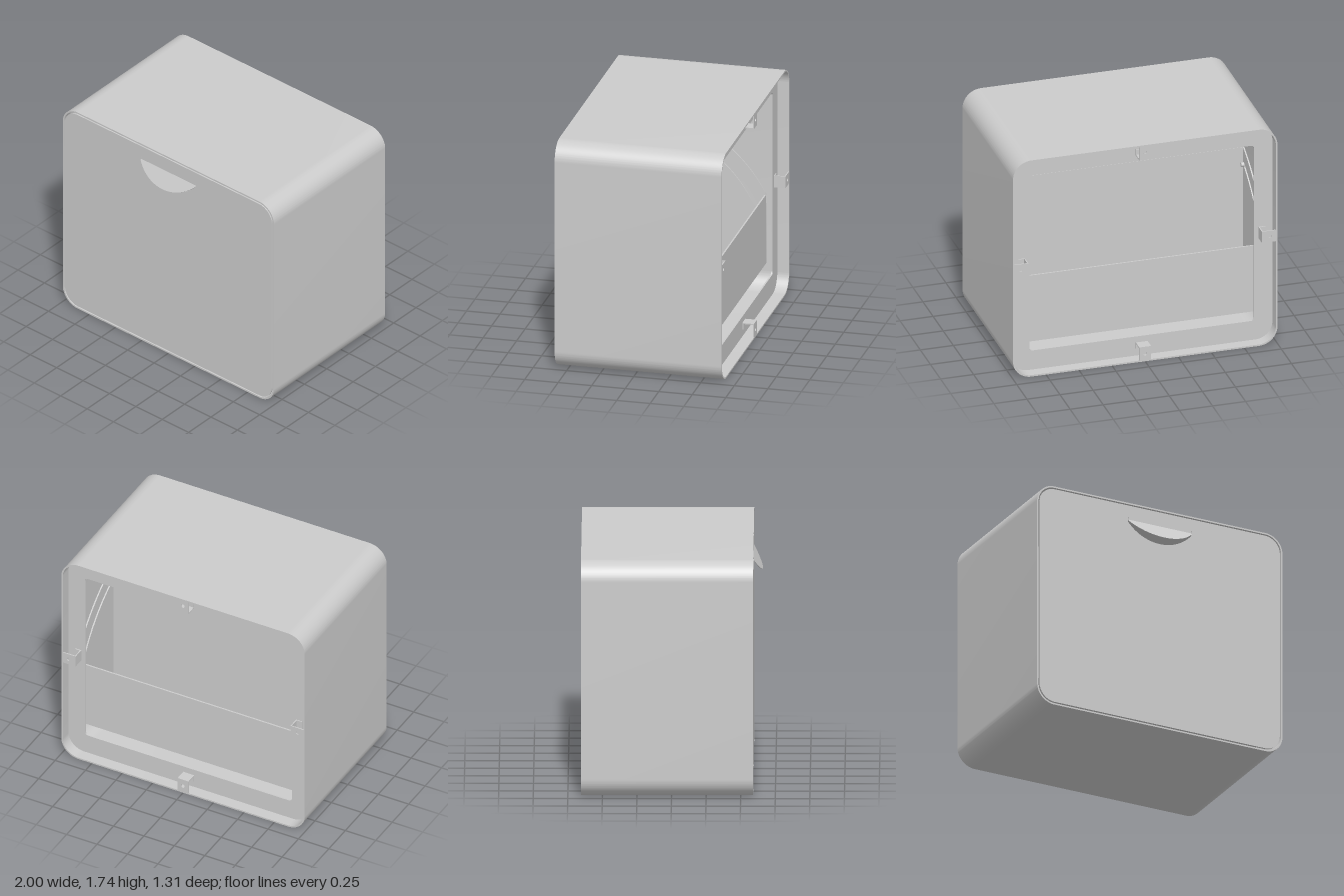
import * as THREE from 'three';
import { toCreasedNormals } from 'three/addons/utils/BufferGeometryUtils.js';

const W = 2, H = 1.74, MID = H / 2, BACK = -0.655, FRONT = 0.59, T = 0.012;
const mat = new THREE.MeshStandardMaterial({ color: 0xcccccc, side: THREE.DoubleSide });

function mesh(name, geometry, x = 0, y = 0, z = 0) {
  const m = new THREE.Mesh(geometry, mat);
  m.name = name;
  m.position.set(x, y, z);
  return m;
}

const box = (name, w, h, d, x, y, z) => mesh(name, new THREE.BoxGeometry(w, h, d), x, y, z);

// Rounded rectangle centred on the origin
function roundRect(w, h, r, Type = THREE.Shape) {
  const s = new Type(), a = w / 2, b = h / 2;
  s.moveTo(-a + r, -b);
  s.lineTo(a - r, -b);
  s.absarc(a - r, -b + r, r, -Math.PI / 2, 0);
  s.lineTo(a, b - r);
  s.absarc(a - r, b - r, r, 0, Math.PI / 2);
  s.lineTo(-a + r, b);
  s.absarc(-a + r, b - r, r, Math.PI / 2, Math.PI);
  s.lineTo(-a, -b + r);
  s.absarc(-a + r, -b + r, r, Math.PI, Math.PI * 1.5);
  return s;
}

function extrude(shape, depth) {
  const g = new THREE.ExtrudeGeometry(shape, { depth, bevelEnabled: false, curveSegments: 16 });
  return toCreasedNormals(g, 0.5);
}

// Circular segment hanging below a chord at y = 0
function segmentPoints(halfWidth, sag) {
  const r = (halfWidth ** 2 + sag ** 2) / (2 * sag), a = Math.asin(halfWidth / r);
  return Array.from({ length: 25 }, (_, i) => {
    const t = -a + (2 * a * i) / 24;
    return new THREE.Vector2(r * Math.sin(t), r - sag - r * Math.cos(t));
  });
}

function createDoor() {
  const door = new THREE.Group();
  door.name = 'door';
  const hingeY = 1.605, arc = segmentPoints(0.26, 0.125);

  // Panel with a cut-out behind the pull tab
  const panel = roundRect(W - 0.044, H - 0.044, 0.12);
  const cut = arc.map(p => new THREE.Vector2(p.x, p.y + hingeY - 0.015 - MID));
  const top = hingeY - MID;
  cut.push(new THREE.Vector2(0.26, top + 0.02), new THREE.Vector2(0.254, top + 0.02),
    new THREE.Vector2(0.254, top), new THREE.Vector2(-0.254, top),
    new THREE.Vector2(-0.254, top + 0.02), new THREE.Vector2(-0.26, top + 0.02));
  panel.holes.push(new THREE.Path(cut));
  door.add(mesh('doorPanel', extrude(panel, T), 0, MID, FRONT - T));

  // Pull tab bent outward
  const tabPoints = arc.map(p => new THREE.Vector2(p.x, p.y - 0.01));
  tabPoints.push(new THREE.Vector2(0.254, 0), new THREE.Vector2(-0.254, 0));
  const tab = mesh('pullTab', extrude(new THREE.Shape(tabPoints), 0.004), 0, hingeY, FRONT - 0.004);
  tab.rotation.x = -0.53;
  door.add(tab);
  return door;
}

function createBin() {
  const bin = new THREE.Group();
  bin.name = 'tiltBin';
  const pz = 0.49, py = 0.23, floorY = 0.2, half = 0.965;

  // Side plate: quarter sector about the pivot with a guide slot
  const side = new THREE.Shape();
  side.moveTo(-0.49, floorY);
  side.lineTo(FRONT - T, floorY);
  side.lineTo(FRONT - T, 1.25);
  side.lineTo(0.07, 1.25);
  side.absarc(pz, py, 1.103, Math.atan2(1.02, -0.42), Math.atan2(0.5, -0.98), false);
  side.closePath();
  const slot = new THREE.Path(), a0 = 2.04, a1 = 2.88;
  slot.absarc(pz, py, 1.01, a0, a1, false);
  slot.absarc(pz, py, 0.98, a1, a0, true);
  side.holes.push(slot);
  const sideGeo = extrude(side, 0.01).rotateY(-Math.PI / 2);

  for (const s of [1, -1]) {
    bin.add(mesh('sidePlate', sideGeo, s * half + 0.005, 0, 0));
    // Pivot and stop pins
    for (const [name, y, z, r] of [['pivotPin', py, pz, 0.02], ['stopPin', 1.12, 0.045, 0.017]]) {
      const pin = mesh(name, new THREE.CylinderGeometry(r, r, 0.05, 20), s * 0.963, y, z);
      pin.rotation.z = Math.PI / 2;
      bin.add(pin);
    }
  }
  bin.add(
    box('innerPanel', 2 * half, 1.25 - floorY, T, 0, (1.25 + floorY) / 2, 0.07),
    box('innerPanelFlange', 2 * half, T, 0.05, 0, 1.244, 0.095),
    box('backPanel', 2 * half, 0.73 - floorY, T, 0, (0.73 + floorY) / 2, -0.484),
    box('binFloor', 2 * half, T, FRONT - T + 0.49, 0, floorY + T / 2, (FRONT - T - 0.49) / 2)
  );
  return bin;
}

// Folded clip: drilled tab flush with the rim, return flange and foot on the back frame
function createClip() {
  const clip = new THREE.Group();
  clip.name = 'wallClip';
  const w = 0.09, len = 0.115, depth = 0.087, t = 0.008;
  const tab = new THREE.Shape([[-w / 2, 0], [w / 2, 0], [w / 2, len], [-w / 2, len]]
    .map(p => new THREE.Vector2(...p)));
  const hole = new THREE.Path();
  hole.absarc(0, len * 0.5, 0.014, 0, Math.PI * 2, true);
  tab.holes.push(hole);
  clip.add(mesh('clipTab', extrude(tab, t)));
  clip.add(box('clipFlange', w, t, depth, 0, len - t / 2, depth / 2));
  clip.add(box('clipFoot', w, 0.05, t, 0, len - 0.025, depth - t / 2));
  return clip;
}

export function createModel() {
  const model = new THREE.Group();
  model.name = 'cabinet';

  // Outer shell, open front and back
  const shell = roundRect(W, H, 0.14);
  shell.holes.push(roundRect(W - 2 * T, H - 2 * T, 0.14 - T, THREE.Path));
  model.add(mesh('shell', extrude(shell, FRONT - BACK), 0, MID, BACK));

  // Recessed back frame
  const frame = roundRect(W - 2 * T, H - 2 * T, 0.14 - T);
  frame.holes.push(roundRect(1.7, 1.41, 0.025, THREE.Path));
  model.add(mesh('backFrame', extrude(frame, T), 0, MID, BACK + 0.087));

  model.add(createDoor(), createBin());

  // One clip in the middle of each back edge, pointing inward
  for (let i = 0; i < 4; i++) {
    const clip = createClip(), a = (i * Math.PI) / 2;
    const reach = i % 2 ? W / 2 - 0.002 : MID - 0.002;
    clip.rotation.z = a;
    clip.position.set(Math.sin(a) * reach, MID - Math.cos(a) * reach, BACK);
    model.add(clip);
  }
  return model;
}
